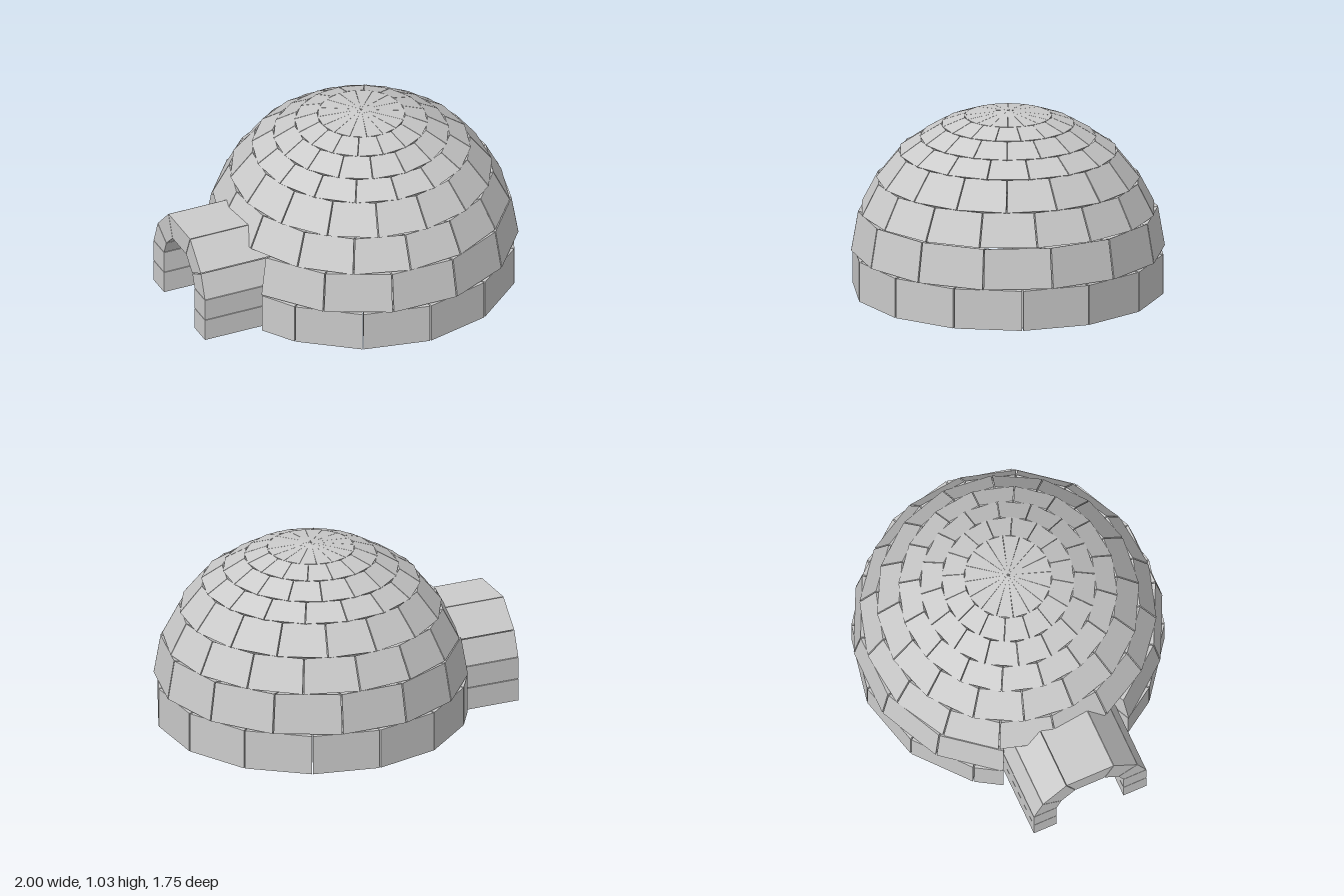
import * as THREE from 'three';
import { ConvexGeometry } from 'three/addons/geometries/ConvexGeometry.js';
import { mergeGeometries } from 'three/addons/utils/BufferGeometryUtils.js';

const material = new THREE.MeshStandardMaterial({ color: 0xcccccc, flatShading: true });
const CENTER_X = 0.12;
const DOOR_START = -64.3; // first wall edge beside the door, degrees from +z towards +x
const DOOR_END = 244.3;

// Courses of the dome: bottom and top [radius, height], block count, angle of one seam
const courses = [
  { bottom: [0.876, 0], top: [0.876, 0.23], count: 14, seam: 1.7, door: true },
  { bottom: [0.88, 0.237], top: [0.841, 0.463], count: 14, seam: 12.86, door: true },
  { bottom: [0.832, 0.467], top: [0.74, 0.645], count: 16, seam: -5.1 },
  { bottom: [0.738, 0.648], top: [0.615, 0.802], count: 16, seam: 5.4 },
  { bottom: [0.614, 0.804], top: [0.497, 0.884], count: 16, seam: -5.1 },
  { bottom: [0.495, 0.886], top: [0.375, 0.958], count: 16, seam: 5.4 },
  { bottom: [0.373, 0.96], top: [0.248, 1.006], count: 16, seam: -5.1 },
  { bottom: [0.246, 1.007], top: [0.006, 1.035], count: 16, seam: 5.4 },
];

// Inner face of the wall; the beds of the upper courses tilt towards the middle
function innerPoint([r, y]) {
  return [r * 0.75, y > 0.24 ? 0.237 + (y - 0.237) * 0.75 : y];
}

// One wall block between two angles, with a narrow joint at each side
function wallBlock(bottom, top, from, to) {
  const section = [bottom, top, innerPoint(top), innerPoint(bottom)];
  const points = [];
  for (const angle of [from + 0.25, to - 0.25]) {
    const a = THREE.MathUtils.degToRad(angle);
    for (const [r, y] of section) {
      points.push(new THREE.Vector3(CENTER_X + r * Math.sin(a), y, r * Math.cos(a)));
    }
  }
  return new ConvexGeometry(points);
}

// A ring of blocks, cut off at the door where needed
function courseGeometry({ bottom, top, count, seam, door }) {
  const step = 360 / count;
  const blocks = [];
  for (let i = 0; i <= count; i++) {
    let from = seam + (i - Math.floor(count / 4)) * step;
    let to = from + step;
    if (door) {
      from = Math.max(from, DOOR_START);
      to = Math.min(to, DOOR_END);
      if (to - from < 1) continue;
    } else if (i === count) continue;
    blocks.push(wallBlock(bottom, top, from, to));
  }
  // the short block that fills the start of a course beside the door
  if (door) {
    const first = seam - Math.floor(count / 4) * step;
    if (first - DOOR_START > 1) blocks.push(wallBlock(bottom, top, DOOR_START, first));
  }
  return mergeGeometries(blocks);
}

// Arched entrance: a row of blocks between an outer and an inner profile [z, y]
function tunnelGeometry() {
  const mirror = (half) => [...half, ...half.map(([z, y]) => [-z, y]).reverse()];
  const outer = mirror([[0.345, 0], [0.345, 0.133], [0.345, 0.265], [0.29, 0.41], [0.145, 0.555]]);
  const inner = mirror([[0.205, 0], [0.205, 0.133], [0.205, 0.265], [0.175, 0.345], [0.09, 0.425]]);
  const blocks = [];
  for (let i = 0; i < outer.length - 1; i++) {
    const points = [];
    for (const profile of [outer, inner]) {
      const a = new THREE.Vector2(...profile[i]);
      const b = new THREE.Vector2(...profile[i + 1]);
      const gap = 0.002 / a.distanceTo(b);
      for (const t of [gap, 1 - gap]) {
        const p = a.clone().lerp(b, t);
        for (const x of [-1, -0.48]) points.push(new THREE.Vector3(x, p.y, p.x));
      }
    }
    blocks.push(new ConvexGeometry(points));
  }
  return mergeGeometries(blocks);
}

export function createModel() {
  const model = new THREE.Group();
  model.name = 'igloo';

  // Dome
  const dome = new THREE.Group();
  dome.name = 'dome';
  courses.forEach((course, i) => {
    const mesh = new THREE.Mesh(courseGeometry(course), material);
    mesh.name = `blockCourse${i + 1}`;
    dome.add(mesh);
  });
  model.add(dome);

  // Entrance
  const tunnel = new THREE.Mesh(tunnelGeometry(), material);
  tunnel.name = 'entranceTunnel';
  model.add(tunnel);

  return model;
}
